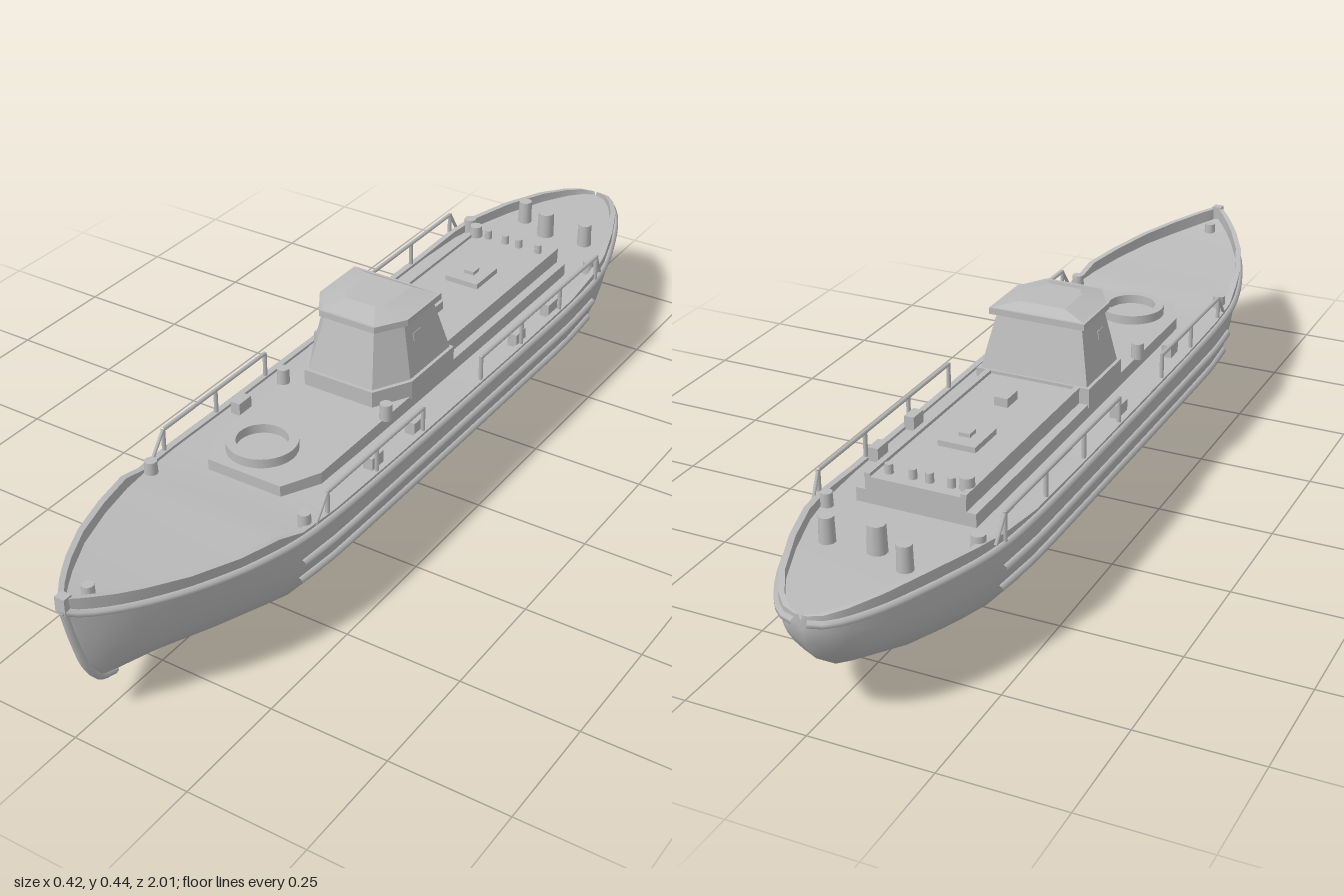
import * as THREE from 'three';
import { toCreasedNormals } from 'three/addons/utils/BufferGeometryUtils.js';

const grey = new THREE.MeshStandardMaterial({ color: 0xbbbbbb });
grey.name = 'plain grey';

// Hull stations: z, keel height, bulwark top, deck height, half beam
const stations = [
  [-1.0, 0.215, 0.245, 0.236, 0.012], [-0.99, 0.18, 0.248, 0.236, 0.04], [-0.96, 0.135, 0.252, 0.236, 0.068],
  [-0.9, 0.088, 0.257, 0.236, 0.104], [-0.8, 0.05, 0.26, 0.236, 0.145], [-0.7, 0.028, 0.257, 0.235, 0.177],
  [-0.62, 0.015, 0.25, 0.234, 0.192], [-0.5, 0.006, 0.24, 0.233, 0.199], [-0.25, 0, 0.238, 0.232, 0.2],
  [0.25, 0, 0.24, 0.234, 0.2], [0.45, 0.004, 0.244, 0.238, 0.199], [0.55, 0.01, 0.248, 0.241, 0.193],
  [0.61, 0.017, 0.267, 0.244, 0.185], [0.7, 0.033, 0.273, 0.249, 0.164], [0.8, 0.053, 0.283, 0.257, 0.129],
  [0.88, 0.069, 0.292, 0.264, 0.088], [0.92, 0.083, 0.297, 0.269, 0.063], [0.95, 0.125, 0.302, 0.274, 0.042],
  [0.975, 0.2, 0.306, 0.279, 0.022], [0.995, 0.285, 0.31, 0.288, 0.004],
];
const section = [[0, 0], [0.1, 0.34], [0.2, 0.6], [0.32, 0.8], [0.45, 0.91], [0.62, 0.97], [0.8, 0.99], [1, 1]];

// Share of the half beam at height share v; the bow is more V-shaped
function fullness(v, z) {
  let i = 1;
  while (i < section.length - 1 && section[i][0] < v) i++;
  const [v0, f0] = section[i - 1], [v1, f1] = section[i];
  const mid = f0 + (f1 - f0) * (v - v0) / (v1 - v0);
  const bow = THREE.MathUtils.smoothstep(z, 0.5, 1) * 0.6;
  return mid * (1 - bow) + Math.pow(v, 0.75) * bow;
}

// Skin between rings of [x, y, z] points, with capped ends
function loft(rings, crease) {
  const n = rings[0].length, pos = rings.flat(2), idx = [];
  for (let i = 0; i < rings.length - 1; i++) {
    for (let j = 0; j < n; j++) {
      const a = i * n + j, b = i * n + (j + 1) % n, c = a + n, d = b + n;
      idx.push(a, b, c, b, d, c);
    }
  }
  const last = (rings.length - 1) * n;
  for (let j = 1; j < n - 1; j++) idx.push(0, j + 1, j, last, last + j, last + j + 1);
  const g = new THREE.BufferGeometry();
  g.setAttribute('position', new THREE.Float32BufferAttribute(pos, 3));
  g.setIndex(idx);
  return toCreasedNormals(g, crease);
}

// Level ring, mirrored from right-half [x, z] corners running stern to bow
function levelRing(half, y) {
  const right = half.map(([x, z]) => [x, y, z]);
  const left = half.slice().reverse().map(([x, z]) => [-x, y, z]);
  return [...left, ...right].reverse();
}
const block = (bottom, top, y0, y1) => loft([levelRing(bottom, y0), levelRing(top, y1)], 0.2);

export function createModel() {
  const model = new THREE.Group();
  model.name = 'patrolBoat';
  const boat = new THREE.Group();
  boat.name = 'boat';
  boat.position.x = -0.004;
  model.add(boat);

  const add = (name, geometry, x = 0, y = 0, z = 0) => {
    const mesh = new THREE.Mesh(geometry, grey);
    mesh.name = name;
    mesh.position.set(x, y, z);
    boat.add(mesh);
    return mesh;
  };
  const box = (name, w, h, d, x, y, z) => add(name, new THREE.BoxGeometry(w, h, d), x, y, z);
  const post = (name, r, h, x, y, z) => add(name, new THREE.CylinderGeometry(r, r * 1.1, h, 10), x, y + h / 2, z);
  const tube = (name, pts, r, curveType = 'centripetal') => add(name, new THREE.TubeGeometry(
    new THREE.CatmullRomCurve3(pts.map(p => new THREE.Vector3(...p)), false, curveType), pts.length * 4, r, 6));
  const rod = (name, a, b, r) => add(name, new THREE.TubeGeometry(
    new THREE.LineCurve3(new THREE.Vector3(...a), new THREE.Vector3(...b)), 1, r, 6));

  // Hull with bulwark and sunken deck
  const rings = stations.map(([z, keel, top, deck, w]) => {
    const half = section.map(([v]) => [w * fullness(v, z), keel + (top - keel) * v, z]);
    const inner = Math.max(w - 0.013, w * 0.2);
    half.push([inner, top, z], [inner, deck, z]);
    return [...half, ...half.slice(1).reverse().map(([x, y, zz]) => [-x, y, zz])];
  });
  add('hull', loft(rings, 0.7));

  // Rub rails and fender strakes follow the hull side
  const sidePath = (side, height, z0, z1) => stations.filter(s => s[0] >= z0 && s[0] <= z1).map(s => {
    const [z, keel, top, , w] = s, y = height(s);
    return [side * (w * fullness(THREE.MathUtils.clamp((y - keel) / (top - keel), 0, 1), z) + 0.002), y, z];
  });
  for (const side of [-1, 1]) {
    tube('rubRail', sidePath(side, s => s[3] - 0.006, -1, 1), 0.008);
    for (const y of [0.13, 0.175]) tube('fenderStrake', sidePath(side, () => y, -0.63, 0.56), 0.008);
  }
  tube('stem', stations.slice(-5).map(s => [0, s[1], s[0] - 0.004]), 0.009);
  box('stemHead', 0.022, 0.035, 0.02, 0, 0.294, 0.988);

  // Deckhouse in two tiers
  const lower = [[0.125, -0.6], [0.125, 0.39], [0.085, 0.47]];
  add('lowerDeckhouse', block(lower, lower, 0.225, 0.262));
  const upper = [[0.105, -0.6], [0.105, 0.08]];
  add('upperDeckhouse', block(upper, upper, 0.255, 0.29));
  for (const s of [-1, 1]) box('roofEdge', 0.012, 0.008, 0.68, s * 0.1, 0.293, -0.26);

  // Wheelhouse
  const outline = (w, back, shoulder, front, nose) => [[w, back], [w, shoulder], [nose, front]];
  const foot = outline(0.127, -0.1, 0.065, 0.145, 0.082);
  add('wheelhousePlinth', block(foot, foot, 0.255, 0.297));
  add('wheelhouse', block(outline(0.12, -0.095, 0.06, 0.137, 0.077), outline(0.094, -0.065, 0.045, 0.1, 0.058), 0.295, 0.417));
  const eave = outline(0.106, -0.08, 0.05, 0.113, 0.066);
  add('roof', block(eave, eave, 0.413, 0.427));
  add('roofCrown', block(outline(0.1, -0.074, 0.046, 0.107, 0.062), outline(0.05, -0.05, 0.03, 0.06, 0.035), 0.427, 0.44));
  for (const s of [-1, 1]) {
    const pane = box('sideWindow', 0.006, 0.018, 0.028, s * 0.102, 0.372, 0.01);
    pane.rotation.z = s * 0.21;
  }

  // Open ring on the foredeck
  const ring = new THREE.Shape().absarc(0, 0, 0.072, 0, Math.PI * 2);
  ring.holes.push(new THREE.Path().absarc(0, 0, 0.052, 0, Math.PI * 2, true));
  const tub = new THREE.ExtrudeGeometry(ring, { depth: 0.022, bevelEnabled: false, curveSegments: 16 });
  add('foredeckRing', toCreasedNormals(tub.rotateX(-Math.PI / 2), 0.6), -0.02, 0.26, 0.38);

  // Roof hatches and fittings
  box('mainHatch', 0.08, 0.012, 0.09, 0, 0.296, -0.39);
  box('hatchLid', 0.025, 0.012, 0.025, 0, 0.304, -0.39);
  box('smallHatch', 0.03, 0.02, 0.045, 0.006, 0.299, -0.21);
  for (const x of [-0.06, -0.015, 0.02, 0.07]) post('roofVent', 0.008, 0.022, x, 0.288, -0.57);
  post('aftLamp', 0.014, 0.028, -0.09, 0.288, -0.565);
  for (const s of [-1, 1]) post('mushroomVent', 0.013, 0.035, s * 0.125, 0.26, 0.16);

  // Bollards and deck lockers
  for (const [x, z, r, h] of [[-0.005, -0.75, 0.018, 0.06], [0.095, -0.755, 0.015, 0.055], [-0.08, -0.785, 0.015, 0.055],
    [-0.165, -0.67, 0.014, 0.035], [0.165, -0.64, 0.012, 0.03], [-0.17, 0.54, 0.013, 0.035],
    [0.175, 0.52, 0.013, 0.035], [-0.005, 0.92, 0.012, 0.024]]) post('bollard', r, h, x, 0.233 + Math.max(0, z - 0.6) * 0.1, z);
  for (const [x, z] of [[0.175, -0.43], [0.178, -0.28], [0.172, 0.28], [-0.175, -0.06], [-0.16, 0.26], [0.175, 0.13]])
    box('deckLocker', 0.022, 0.03, 0.04, x, 0.247, z);

  // Side railings
  for (const s of [-1, 1]) {
    const x = s * 0.193;
    for (const [z0, z1, count] of [[0.13, 0.47, 3], [-0.62, -0.1, 4]]) {
      rod('handrail', [x, 0.292, z0], [x, 0.292, z1], 0.0045);
      for (let i = 0; i < count; i++) {
        const z = z0 + (z1 - z0) * i / (count - 1);
        rod('stanchion', [x, 0.233, z], [x, 0.295, z], 0.0045);
      }
    }
    rod('railBrace', [x, 0.292, 0.47], [x, 0.24, 0.51], 0.004);
    rod('railBrace', [x, 0.292, -0.62], [x * 0.98, 0.24, -0.65], 0.004);
  }
  return model;
}
